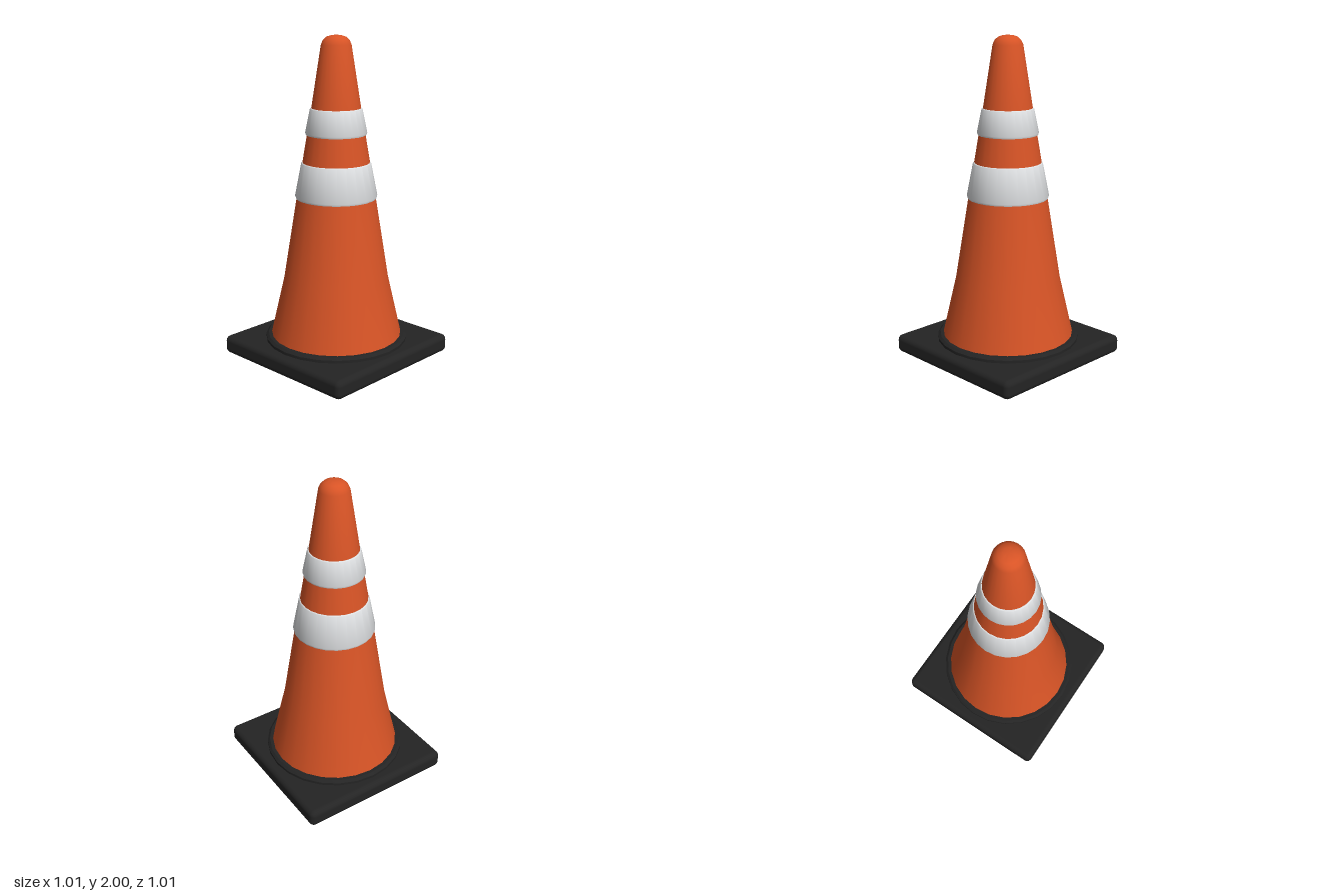
import * as THREE from 'three';
import { toCreasedNormals } from 'three/addons/utils/BufferGeometryUtils.js';
import { RoundedBoxGeometry } from 'three/addons/geometries/RoundedBoxGeometry.js';

const SIDES = 24;

// Revolve a list of [radius, height] points, listed from bottom to top
function revolve(points, crease = 0.6) {
  const profile = points.map(([r, y]) => new THREE.Vector2(r, y));
  return toCreasedNormals(new THREE.LatheGeometry(profile, SIDES), crease);
}

export function createModel() {
  const orange = new THREE.MeshStandardMaterial({ name: 'orange plastic', color: 0xd85426 });
  const white = new THREE.MeshStandardMaterial({ name: 'reflective white', color: 0xdfe1e3 });
  const black = new THREE.MeshStandardMaterial({ name: 'black rubber', color: 0x242424 });

  const model = new THREE.Group();
  model.name = 'trafficCone';
  const add = (name, geometry, material) => {
    const mesh = new THREE.Mesh(geometry, material);
    mesh.name = name;
    model.add(mesh);
    return mesh;
  };

  // Square foot with rounded edges
  add('base', new RoundedBoxGeometry(1.01, 0.115, 1.01, 3, 0.035), black).position.y = 0.0575;

  // Low round collar where the cone meets the foot
  add('collar', revolve([[0.445, 0.1], [0.445, 0.132], [0.43, 0.146], [0, 0.146]]), black);

  // Flared body with a rounded tip
  add('cone', revolve([
    [0.41, 0.14], [0.325, 0.51], [0.243, 1.02], [0.15, 1.57],
    [0.091, 1.945], [0.079, 1.972], [0.058, 1.991], [0.03, 2], [0, 2],
  ], 0.9), orange);

  // Reflective sleeves with a bevelled lower lip
  const sleeve = (name, y0, r0, y1, r1) => add(name, revolve([
    [r0 - 0.016, y0], [r0 - 0.004, y0], [r0, y0 + 0.012], [r1, y1 - 0.004], [r1 - 0.004, y1], [r1 - 0.014, y1],
  ]), white);
  sleeve('lowerBand', 1.02, 0.253, 1.24, 0.213);
  sleeve('upperBand', 1.41, 0.188, 1.57, 0.158);

  return model;
}
